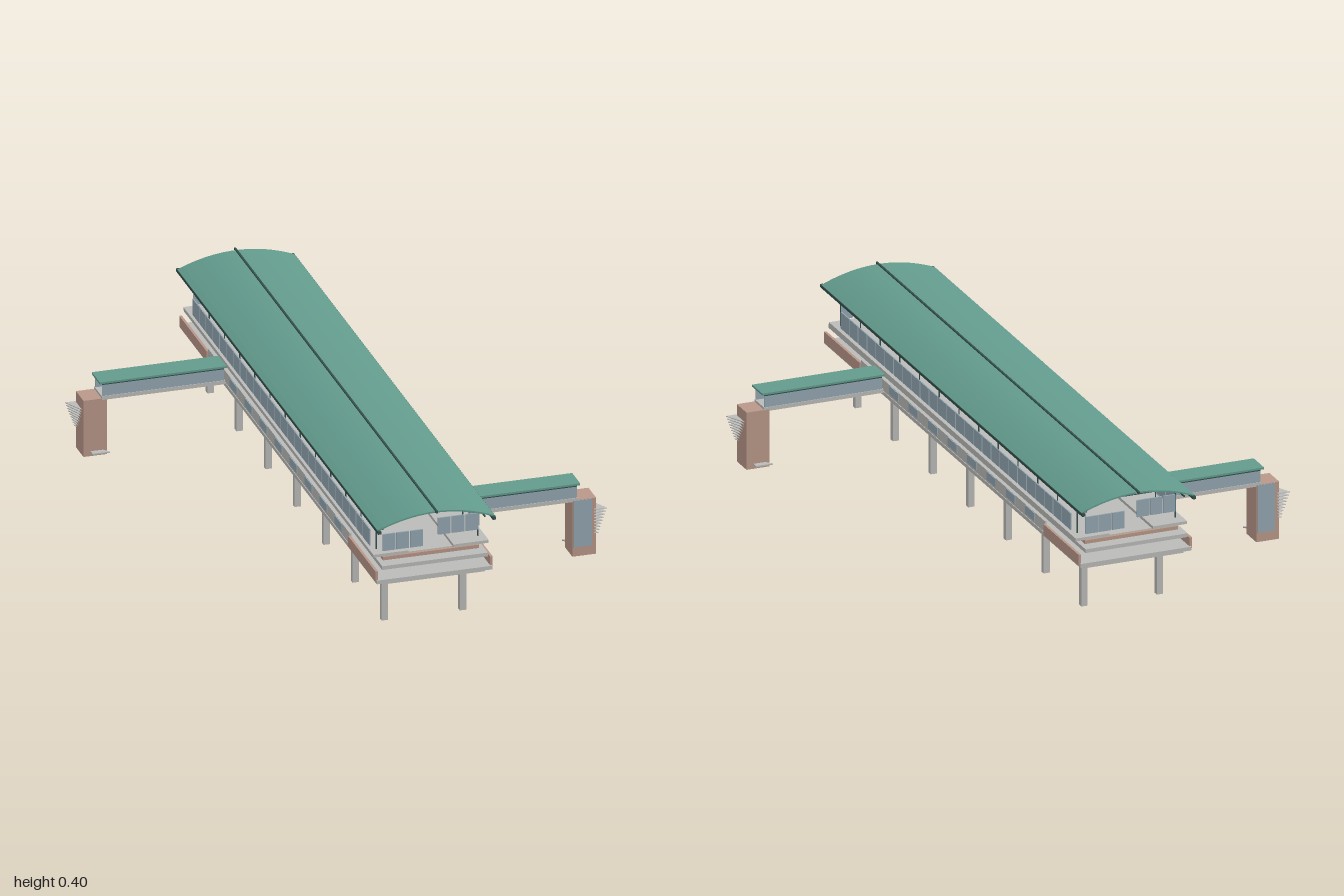
import * as THREE from 'three';

const mat = (name, color) => {
  const m = new THREE.MeshStandardMaterial({ color });
  m.name = name;
  return m;
};

export function createModel() {
  const green = mat('roof green', 0x629a8c);
  const dark = mat('dark trim', 0x34504c);
  const brick = mat('brick', 0xb89788);
  const glass = mat('glass', 0x93a6b0);
  const grey = mat('concrete', 0xbabbb8);
  const model = new THREE.Group();
  model.name = 'elevatedStation';

  // Box given by its minimum and maximum corners
  const box = (parent, name, m, x0, x1, y0, y1, z0, z1) => {
    const mesh = new THREE.Mesh(new THREE.BoxGeometry(x1 - x0, y1 - y0, z1 - z0), m);
    mesh.position.set((x0 + x1) / 2, (y0 + y1) / 2, (z0 + z1) / 2);
    mesh.name = name;
    parent.add(mesh);
    return mesh;
  };

  // Thin slab cut from a plan outline of [x, z] points
  const planSlab = (parent, name, m, points, y, thickness) => {
    const shape = new THREE.Shape(points.map(([x, z]) => new THREE.Vector2(x, -z)));
    const geo = new THREE.ExtrudeGeometry(shape, { depth: thickness, bevelEnabled: false });
    geo.rotateX(-Math.PI / 2);
    const mesh = new THREE.Mesh(geo, m);
    mesh.position.y = y;
    mesh.name = name;
    parent.add(mesh);
  };

  // Decks
  box(model, 'lowerDeck', grey, -0.18, 0.18, 0.17, 0.182, -0.975, 0.975);
  box(model, 'deckUnderside', grey, -0.16, 0.16, 0.16, 0.17, -0.96, 0.96);
  box(model, 'platformDeck', grey, -0.165, 0.165, 0.217, 0.229, -0.98, 0.98);
  box(model, 'platformFloor', brick, -0.15, 0.15, 0.229, 0.24, -0.94, 0.94);
  box(model, 'trackBed', grey, -0.075, 0.075, 0.24, 0.242, -0.93, 0.93);

  // Columns and cross beams
  for (let i = -3; i <= 3; i++) {
    const z = i * 0.287;
    for (const x of [-0.122, 0.122]) {
      box(model, 'column', grey, x - 0.01, x + 0.01, 0, 0.162, z - 0.009, z + 0.009);
    }
    box(model, 'crossBeam', grey, -0.16, 0.16, 0.155, 0.161, z - 0.01, z + 0.01);
  }

  // Curved roof: an arc profile run along the building
  const height = (x) => 0.391 - 0.038 * (x / 0.183) ** 2;
  const profile = [];
  const steps = 20;
  for (let i = 0; i <= steps; i++) {
    const x = -0.183 + (0.366 * i) / steps;
    profile.push(new THREE.Vector2(x, height(x)));
  }
  for (let i = steps; i >= 0; i--) {
    const x = -0.183 + (0.366 * i) / steps;
    profile.push(new THREE.Vector2(x, height(x) - 0.005));
  }
  const roofGeo = new THREE.ExtrudeGeometry(new THREE.Shape(profile), { depth: 1.98, bevelEnabled: false });
  roofGeo.translate(0, 0, -0.99);
  const roof = new THREE.Mesh(roofGeo, green);
  roof.name = 'curvedRoof';
  model.add(roof);
  box(model, 'roofRidge', dark, -0.003, 0.003, 0.388, 0.395, -1, 1);

  // Everything below appears twice, the second time turned half round
  const buildHalf = () => {
    const half = new THREE.Group();
    half.name = 'stationHalf';

    // Roof edge and platform side
    box(half, 'gutter', dark, 0.174, 0.184, 0.343, 0.352, -1, 1);
    box(half, 'sidePlatform', grey, 0.07, 0.18, 0.242, 0.251, -0.94, 0.94);
    box(half, 'roofBeam', dark, 0.157, 0.161, 0.342, 0.347, -0.97, 0.97);

    // Lower storey wall with small windows, brick at both ends
    box(half, 'lowerWall', grey, 0.172, 0.178, 0.18, 0.218, -0.7, 0.7);
    for (let i = -4; i <= 4; i++) {
      box(half, 'lowerWindow', glass, 0.178, 0.181, 0.191, 0.217, i * 0.148 - 0.034, i * 0.148 + 0.034);
    }
    for (const z of [-0.835, 0.835]) {
      box(half, 'brickParapet', brick, 0.175, 0.183, 0.175, 0.21, z - 0.135, z + 0.135);
    }

    // Row of platform side panes
    for (let i = 0; i < 26; i++) {
      const z = 0.855 - i * 0.0675;
      box(half, 'sidePane', glass, 0.174, 0.178, 0.262, 0.315, z - 0.062, z);
    }

    // Slim posts, ties and roof hangers
    for (let i = -6; i <= 6; i++) {
      const z = i * 0.15;
      box(half, 'post', dark, 0.157, 0.16, 0.25, 0.357, z - 0.0015, z + 0.0015);
      box(half, 'tieRod', dark, 0, 0.16, 0.344, 0.346, z - 0.001, z + 0.001);
      for (const x of [0.05, 0.1]) {
        const hanger = box(half, 'hanger', dark, x - 0.001, x + 0.001, 0.345, height(x) - 0.004, z - 0.001, z + 0.001);
        hanger.rotation.z = -0.25;
      }
    }

    // End screens of three panes each, staggered in depth
    for (let i = 0; i < 3; i++) {
      const x = 0.034 + i * 0.043;
      box(half, 'endPane', glass, x, x + 0.039, 0.272, 0.326, 0.898, 0.903);
      box(half, 'endPane', glass, -x - 0.039, -x, 0.272, 0.326, 0.962, 0.967);
    }

    // Covered footbridge
    const z0 = 0.525, z1 = 0.6;
    box(half, 'bridgeFloor', grey, 0.18, 0.565, 0.178, 0.19, z0, z1);
    box(half, 'bridgeRoof', green, 0.175, 0.572, 0.231, 0.237, z0 - 0.002, z1 + 0.002);
    for (const z of [z0 + 0.002, z1 - 0.006]) {
      box(half, 'bridgeGlass', glass, 0.183, 0.563, 0.19, 0.226, z, z + 0.004);
      box(half, 'bridgeRail', dark, 0.183, 0.563, 0.226, 0.231, z, z + 0.004);
    }

    // Brick access tower with a glazed front
    box(half, 'accessTower', brick, 0.548, 0.622, 0, 0.183, z0, z1);
    box(half, 'towerGlass', glass, 0.552, 0.608, 0.03, 0.182, z1, z1 + 0.002);

    // Fan of thin treads that shrink downwards
    for (let i = 0; i < 9; i++) {
      const w = 0.035 - i * 0.0035;
      planSlab(half, 'tread', grey, [[0.615, z1 - 0.075 + i * 0.004], [0.615, z1 + 0.006], [0.62 + w, z1 + 0.006]], 0.146 - i * 0.0095, 0.002);
    }
    planSlab(half, 'baseStep', grey, [[0.545, 0.505], [0.6, 0.505], [0.6, 0.53], [0.565, 0.53]], 0.012, 0.004);
    return half;
  };

  const first = buildHalf();
  const second = buildHalf();
  second.rotation.y = Math.PI;
  model.add(first, second);
  return model;
}
